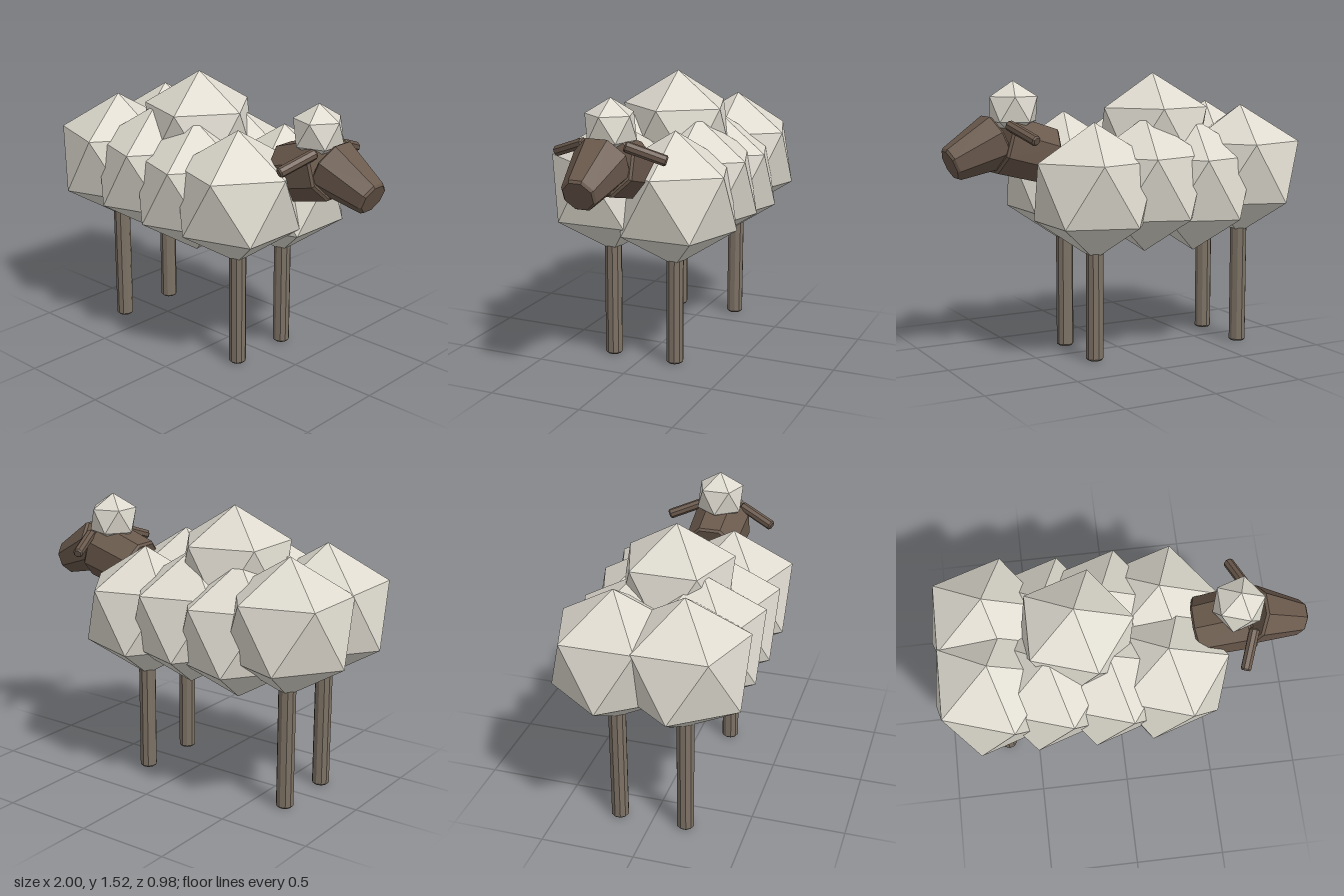
import * as THREE from 'three';

const flat = (name, color) => {
  const m = new THREE.MeshStandardMaterial({ color, flatShading: true });
  m.name = name;
  return m;
};

export function createModel() {
  const group = new THREE.Group();
  const wool = flat('wool', 0xdedacf);
  const hide = flat('leg hide', 0x7d7265);
  const face = flat('face hide', 0x6a594c);

  const add = (name, geometry, material) => {
    const mesh = new THREE.Mesh(geometry, material);
    mesh.name = name;
    group.add(mesh);
    return mesh;
  };

  // Icosahedron tuft standing on one of its points
  const tuft = (name, r, x, y, z) => {
    const g = new THREE.IcosahedronGeometry(r, 0);
    g.rotateZ(-Math.atan(2 / (1 + Math.sqrt(5))));
    add(name, g, wool).position.set(x, y, z);
  };

  // Faceted rod from a to b with bevelled ends
  const rod = (name, a, b, ra, rb, sides, bevel, material, turn = 0) => {
    const from = new THREE.Vector3(...a);
    const dir = new THREE.Vector3(...b).sub(from);
    const len = dir.length();
    const profile = [
      [0, 0], [ra - bevel, 0], [ra, bevel],
      [rb, len - bevel], [rb - bevel, len], [0, len],
    ].map(([r, y]) => new THREE.Vector2(r, y));
    const mesh = add(name, new THREE.LatheGeometry(profile, sides, turn), material);
    mesh.position.copy(from);
    mesh.quaternion.setFromUnitVectors(new THREE.Vector3(0, 1, 0), dir.normalize());
  };

  // Fleece: two rows of four tufts, slightly uneven in height
  const columns = [-0.676, -0.375, -0.067, 0.238];
  const heights = { 1: [0.985, 0.97, 0.94, 0.95], '-1': [0.98, 0.91, 0.93, 0.91] };
  for (const side of [1, -1]) {
    columns.forEach((x, i) => tuft('fleeceTuft', 0.363, x, heights[side][i], side * 0.182));
  }
  tuft('backTuft', 0.335, -0.217, 1.185, 0);

  // Legs
  for (const x of [columns[0], columns[3]]) {
    for (const side of [1, -1]) {
      rod(x > 0 ? 'frontLeg' : 'backLeg', [x, 0, side * 0.182], [x, 0.85, side * 0.182],
        0.047, 0.047, 10, 0.01, hide);
    }
  }

  // Neck, muzzle and topknot
  rod('neck', [0.42, 1.09, 0], [0.70, 1.17, 0], 0.158, 0.168, 8, 0.012, face, Math.PI / 8);
  rod('muzzle', [0.703, 1.187, 0], [0.968, 1.069, 0], 0.152, 0.094, 8, 0.012, face, Math.PI / 8);
  tuft('topknot', 0.145, 0.617, 1.345, 0);

  // Ears
  for (const side of [1, -1]) {
    rod('ear', [0.69, 1.27, side * 0.11], [0.62, 1.197, side * 0.305], 0.028, 0.028, 8, 0.008, face);
  }
  return group;
}
